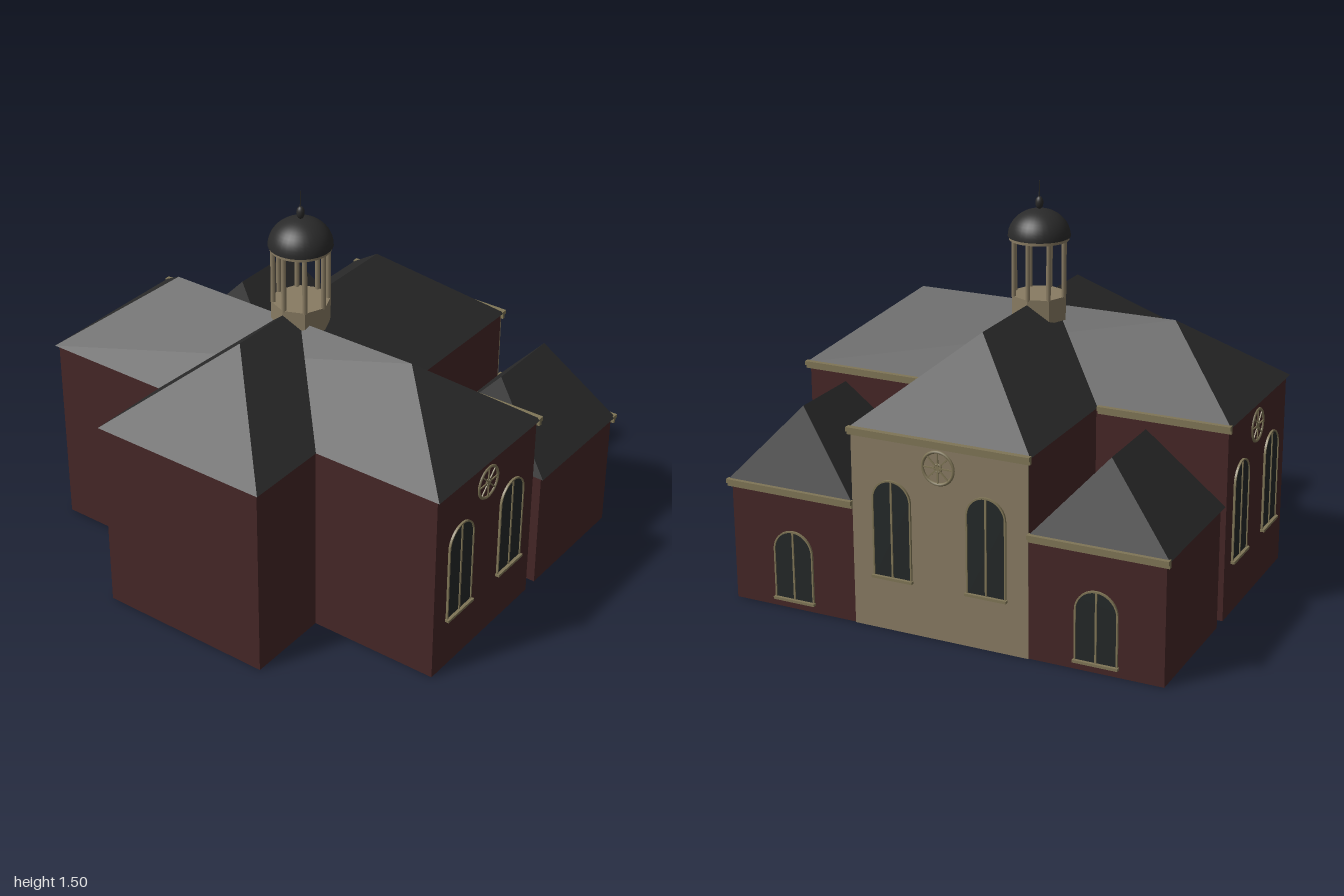
import * as THREE from 'three';

const mat = (name, color, extra = {}) => Object.assign(new THREE.MeshStandardMaterial({ color, ...extra }), { name });

export function createModel() {
  const brick = mat('dark red brick', 0x452626);
  const slate = mat('slate roof', 0x2a2a2a);
  const stone = mat('tan stone', 0x887b62);
  const trim = mat('olive tan trim', 0x7f7556);
  const glass = mat('dark glass', 0x242828);

  const model = new THREE.Group();
  model.name = 'crossPlanBuilding';
  const building = new THREE.Group();
  building.name = 'building';
  building.rotation.y = 0.274;
  building.position.set(0.06, 0, 0.125);
  model.add(building);

  const add = (parent, name, geo, material, x = 0, y = 0, z = 0) => {
    const m = new THREE.Mesh(geo, material);
    m.name = name;
    m.position.set(x, y, z);
    parent.add(m);
    return m;
  };
  // box given by its limits
  const block = (name, material, x0, x1, y0, y1, z0, z1) =>
    add(building, name, new THREE.BoxGeometry(x1 - x0, y1 - y0, z1 - z0), material,
      (x0 + x1) / 2, (y0 + y1) / 2, (z0 + z1) / 2);

  // hipped roof over a rectangle, ridge from p to q ([x, z] each)
  const hipRoof = (name, x0, x1, z0, z1, eave, top, p, q, alongX) => {
    const [a, b, c, d] = [[x0, eave, z0], [x1, eave, z0], [x1, eave, z1], [x0, eave, z1]];
    const [P, Q] = [p, q].map(([x, z]) => [x, top, z]);
    const faces = alongX
      ? [[d, c, Q, P], [b, a, P, Q], [c, b, Q], [a, d, P]]
      : [[c, b, P, Q], [a, d, Q, P], [b, a, P], [d, c, Q]];
    faces.push([a, b, c, d]);
    const pos = [];
    for (const f of faces)
      for (let i = 1; i < f.length - 1; i++) pos.push(...f[0], ...f[i], ...f[i + 1]);
    const g = new THREE.BufferGeometry();
    g.setAttribute('position', new THREE.Float32BufferAttribute(pos, 3));
    g.computeVertexNormals();
    add(building, name, g, slate);
  };

  // two-step cornice along a back-facing wall
  const cornice = (name, x0, x1, top, z) => {
    block(name, trim, x0, x1, top - 0.016, top, z - 0.022, z);
    block(name + 'Lower', trim, x0, x1, top - 0.03, top - 0.016, z - 0.012, z);
  };

  // main cross: nave and side arms
  block('naveWalls', brick, -0.345, 0.345, 0, 0.75, -0.818, 0.705);
  hipRoof('naveRoof', -0.355, 0.355, -0.828, 0.715, 0.75, 1.047, [0, -0.472], [0, 0.352], false);
  block('sideArmWalls', brick, -0.852, 0.852, 0, 0.75, -0.25, 0.377);
  hipRoof('sideArmRoof', -0.865, 0.865, -0.262, 0.387, 0.75, 1.012, [-0.523, 0.06], [0.523, 0.06], true);
  block('backFacade', stone, -0.345, 0.345, 0, 0.75, -0.824, -0.818);
  cornice('backCornice', -0.355, 0.355, 0.757, -0.819);

  // low corner blocks and the cornices, mirrored
  for (const s of [-1, 1]) {
    const span = (a, b) => (s > 0 ? [a, b] : [-b, -a]);
    const walls = span(0.34, 0.852), roof = span(0.345, 0.866);
    block('cornerBlockWalls', brick, ...walls, 0, 0.468, -0.82, -0.31);
    hipRoof('cornerBlockRoof', ...roof, -0.828, -0.3, 0.468, 0.757, [s * 0.603, -0.713], [s * 0.603, -0.411], false);
    cornice('cornerCornice', ...roof, 0.475, -0.819);
    cornice('sideArmCornice', ...span(0.355, 0.865), 0.757, -0.25);
  }

  // outline of a round-arched opening, base at y = 0
  const arch = (Type, w, h) => {
    const r = w / 2, s = new Type();
    s.moveTo(-r, 0);
    s.lineTo(r, 0);
    s.lineTo(r, h - r);
    s.absarc(0, h - r, r, 0, Math.PI, false);
    s.lineTo(-r, 0);
    return s;
  };
  const extrude = (shape, depth) =>
    new THREE.ExtrudeGeometry(shape, { depth, bevelEnabled: false, curveSegments: 16 });

  const place = (name, x, y, z, turn) => {
    const g = new THREE.Group();
    g.name = name;
    g.position.set(x, y, z);
    g.rotation.y = turn;
    building.add(g);
    return g;
  };
  const archWindow = (x, y, z, turn, w, h) => {
    const g = place('archWindow', x, y, z, turn);
    add(g, 'pane', extrude(arch(THREE.Shape, w, h), 0.004), glass);
    const rim = arch(THREE.Shape, w + 0.008, h + 0.004);
    rim.holes.push(arch(THREE.Path, w - 0.004, h - 0.002));
    add(g, 'frame', extrude(rim, 0.008), trim);
    add(g, 'mullion', new THREE.BoxGeometry(0.007, h, 0.008), trim, 0, h / 2, 0.004);
    add(g, 'sill', new THREE.BoxGeometry(w + 0.016, 0.01, 0.028), trim, 0, 0, 0.002);
  };
  const roseWindow = (x, y, z, turn) => {
    const g = place('roseWindow', x, y, z, turn);
    add(g, 'ring', new THREE.TorusGeometry(0.06, 0.006, 6, 32), trim);
    add(g, 'hub', new THREE.TorusGeometry(0.014, 0.004, 6, 16), trim);
    for (let i = 0; i < 4; i++)
      add(g, 'spoke', new THREE.BoxGeometry(0.12, 0.005, 0.008), trim).rotation.z = i * Math.PI / 4;
  };

  // windows on the back and on both arm ends
  roseWindow(0, 0.655, -0.824, Math.PI);
  for (const s of [-1, 1]) {
    archWindow(s * 0.185, 0.205, -0.824, Math.PI, 0.146, 0.37);
    archWindow(s * 0.6, 0.035, -0.82, Math.PI, 0.155, 0.27);
    const turn = s * Math.PI / 2;
    roseWindow(s * 0.852, 0.655, 0.06, turn);
    for (const o of [-0.163, 0.163]) archWindow(s * 0.852, 0.205, 0.06 + o, turn, 0.146, 0.37);
  }

  // open octagonal cupola
  const cupola = new THREE.Group();
  cupola.name = 'cupola';
  building.add(cupola);
  const drum = new THREE.CylinderGeometry(0.108, 0.108, 0.09, 8).toNonIndexed();
  drum.computeVertexNormals();
  add(cupola, 'drum', drum, stone, 0, 1.02, 0);
  for (let i = 0; i < 8; i++) {
    const a = i * Math.PI / 4;
    add(cupola, 'column', new THREE.CylinderGeometry(0.009, 0.009, 0.22, 8), stone,
      0.1 * Math.sin(a), 1.17, 0.1 * Math.cos(a));
  }
  add(cupola, 'columnRing', new THREE.CylinderGeometry(0.112, 0.112, 0.012, 32), stone, 0, 1.28, 0);
  const dome = add(cupola, 'dome',
    new THREE.SphereGeometry(0.117, 32, 12, 0, Math.PI * 2, 0, Math.PI / 2), slate, 0, 1.286, 0);
  dome.scale.y = 0.88;
  add(cupola, 'finialBall', new THREE.SphereGeometry(0.015, 16, 12), slate, 0, 1.412, 0).scale.y = 1.6;
  add(cupola, 'spire', new THREE.CylinderGeometry(0.002, 0.003, 0.11, 8), slate, 0, 1.44, 0);

  return model;
}
